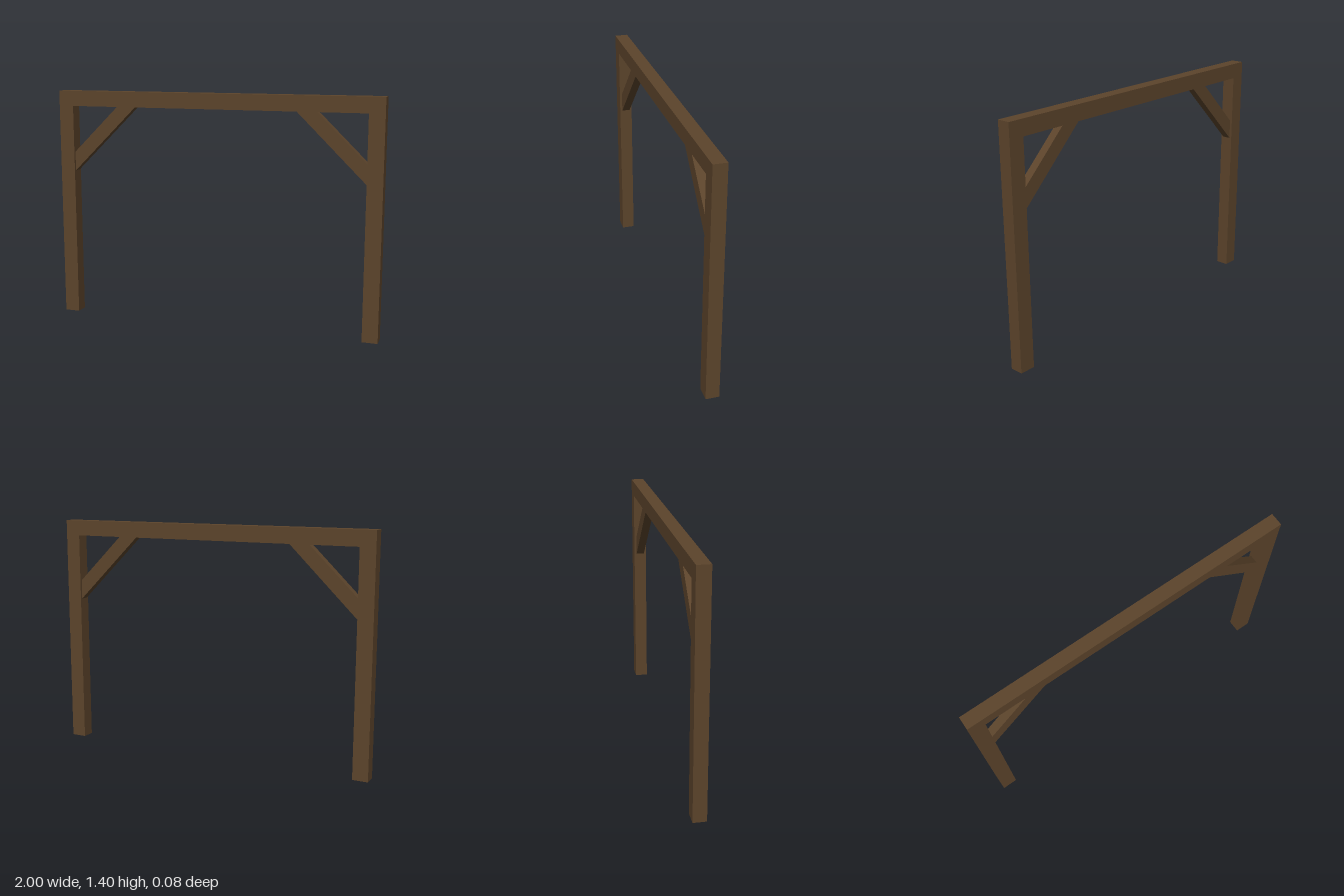
import * as THREE from 'three';

const WIDTH = 2, HEIGHT = 1.4, BEAM = 0.092, DEPTH = 0.078, BRACE_DEPTH = 0.05;

export function createModel() {
  const group = new THREE.Group();
  group.name = 'timberFrame';
  const wood = new THREE.MeshStandardMaterial({ color: 0x5c442b });
  wood.name = 'brown wood';

  const add = (name, geometry, x = 0, y = 0) => {
    const mesh = new THREE.Mesh(geometry, wood);
    mesh.name = name;
    mesh.position.set(x, y, 0);
    group.add(mesh);
  };

  // Crossbeam spanning the full width
  add('crossbeam', new THREE.BoxGeometry(WIDTH, BEAM, DEPTH), 0, HEIGHT - BEAM / 2);

  const inner = WIDTH / 2 - BEAM;   // inner face of a post
  const under = HEIGHT - BEAM;      // underside of the crossbeam

  for (const [side, s] of [['left', 1], ['right', -1]]) {
    // Post up to the crossbeam
    add(side + 'Post', new THREE.BoxGeometry(BEAM, under, DEPTH), s * (WIDTH - BEAM) / 2, under / 2);

    // Diagonal brace with ends cut flush to post and beam
    const outline = [[inner, 0.907], [inner, 1.024], [0.617, under], [0.498, under]]
      .map(([x, y]) => new THREE.Vector2(s * x, y));
    const brace = new THREE.ExtrudeGeometry(new THREE.Shape(outline), { depth: BRACE_DEPTH, bevelEnabled: false });
    brace.translate(0, 0, -BRACE_DEPTH / 2);
    add(side + 'Brace', brace);
  }
  return group;
}
